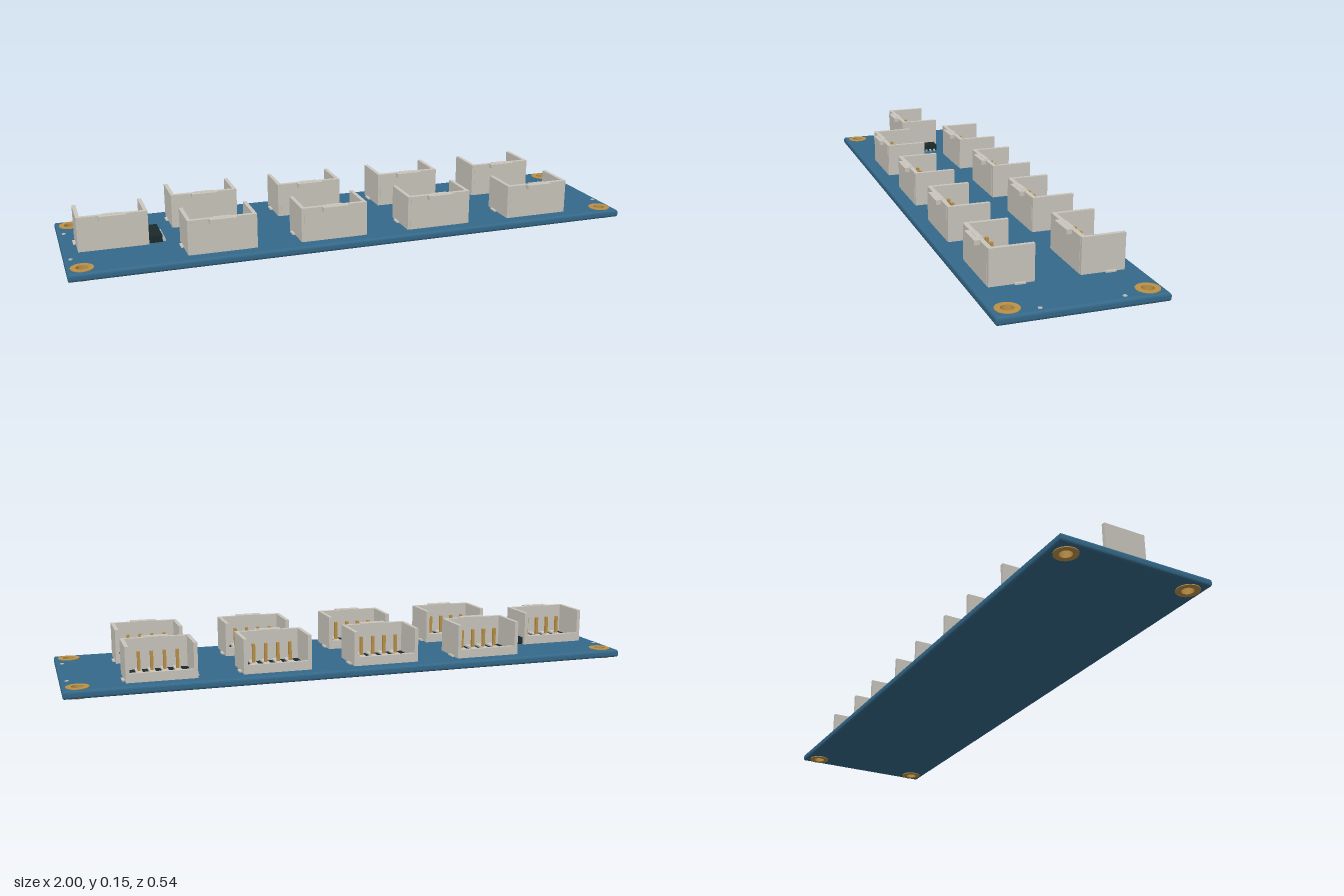
import * as THREE from 'three';

const mat = (name, color) => {
  const m = new THREE.MeshStandardMaterial({ color });
  m.name = name;
  return m;
};

export function createModel() {
  const blue = mat('board blue', 0x35698a);
  const cream = mat('housing cream', 0xcbc7be);
  const dark = mat('dark plastic', 0x1c2a2d);
  const gold = mat('gold', 0xbb9148);
  const silver = mat('silver', 0xb9bcbc);

  const model = new THREE.Group();
  model.name = 'connectorBoard';

  const add = (parent, name, geometry, material, x, y, z) => {
    const mesh = new THREE.Mesh(geometry, material);
    mesh.name = name;
    mesh.position.set(x, y, z);
    parent.add(mesh);
    return mesh;
  };
  // box given by its min and max on each axis
  const box = (parent, name, material, [x0, x1], [y0, y1], [z0, z1]) =>
    add(parent, name, new THREE.BoxGeometry(x1 - x0, y1 - y0, z1 - z0), material,
      (x0 + x1) / 2, (y0 + y1) / 2, (z0 + z1) / 2);

  const circle = (x, y, r) => new THREE.Path().absarc(x, y, r, 0, Math.PI * 2, true);
  const corners = [[-0.95, -0.217], [0.95, -0.217], [-0.95, 0.217], [0.95, 0.217]];

  // circuit board with rounded edges and four mounting holes
  const BEVEL = 0.009, HX = 1 - BEVEL, HZ = 0.268 - BEVEL;
  const outline = new THREE.Shape([
    new THREE.Vector2(-HX, -HZ), new THREE.Vector2(HX, -HZ),
    new THREE.Vector2(HX, HZ), new THREE.Vector2(-HX, HZ),
  ]);
  for (const [x, z] of corners) outline.holes.push(circle(x, z, 0.032));
  const boardGeo = new THREE.ExtrudeGeometry(outline, {
    depth: 0.028 - 2 * BEVEL, bevelSize: BEVEL, bevelThickness: BEVEL, bevelSegments: 3, curveSegments: 20,
  });
  boardGeo.rotateX(-Math.PI / 2);
  add(model, 'board', boardGeo, blue, 0, 0.003 + BEVEL, 0);

  // gold eyelets through the holes
  const ring = new THREE.Shape().absarc(0, 0, 0.038, 0, Math.PI * 2, false);
  ring.holes.push(circle(0, 0, 0.02));
  const ringGeo = new THREE.ExtrudeGeometry(ring, { depth: 0.033, bevelEnabled: false, curveSegments: 20 });
  ringGeo.rotateX(-Math.PI / 2);
  for (const [x, z] of corners) add(model, 'mountingRing', ringGeo, gold, x, 0, z);

  // small pads along the short edges
  const padGeo = new THREE.CylinderGeometry(0.007, 0.007, 0.003, 12);
  for (const x of [-0.978, 0.978])
    for (const z of [-0.13, 0.13]) add(model, 'edgePad', padGeo, silver, x, 0.0315, z);

  // socket: tall front and side walls, low back wall, ribbed floor, four pins
  const TOP = 0.151, BASE = 0.03;
  const socket = (x, z) => {
    const g = new THREE.Group();
    g.name = 'socket';
    g.position.set(x, 0, z);
    model.add(g);
    box(g, 'frontWall', cream, [-0.107, 0.107], [BASE, TOP], [0.058, 0.073]);
    box(g, 'backWall', cream, [-0.107, 0.107], [BASE, 0.062], [-0.073, -0.06]);
    box(g, 'floor', dark, [-0.107, 0.107], [BASE, 0.044], [-0.06, 0.058]);
    box(g, 'latch', cream, [-0.046, 0.046], [0.137, 0.1525], [0.068, 0.091]);
    box(g, 'latchTop', cream, [-0.03, 0.03], [0.149, 0.153], [0.058, 0.075]);
    for (const s of [-1, 1]) {
      const side = (a, b) => [Math.min(s * a, s * b), Math.max(s * a, s * b)];
      box(g, 'sideWall', cream, side(0.105, 0.118), [BASE, TOP], [-0.073, 0.072]);
      box(g, 'sideFoot', cream, side(0.117, 0.127), [BASE, 0.036], [-0.042, -0.007]);
    }
    for (let i = 0; i < 4; i++) {
      const px = (i - 1.5) * 0.043;
      box(g, 'floorRib', cream, [px - 0.0105, px + 0.0105], [0.043, 0.05], [-0.06, 0.058]);
      box(g, 'pin', gold, [px - 0.005, px + 0.005], [0.045, 0.115], [0.008, 0.018]);
    }
  };
  for (const x of [-0.49, -0.1, 0.29, 0.68])
    for (const z of [-0.146, 0.147]) socket(x, z);
  socket(-0.83, -0.002);

  // chip beside the end socket, with a row of leads
  box(model, 'chip', dark, [-0.711, -0.665], [0.03, 0.056], [-0.062, 0.06]);
  for (let i = 0; i < 7; i++) {
    const z = (i - 3) * 0.0167;
    box(model, 'chipLead', silver, [-0.666, -0.653], [0.03, 0.038], [z - 0.003, z + 0.003]);
  }
  return model;
}
